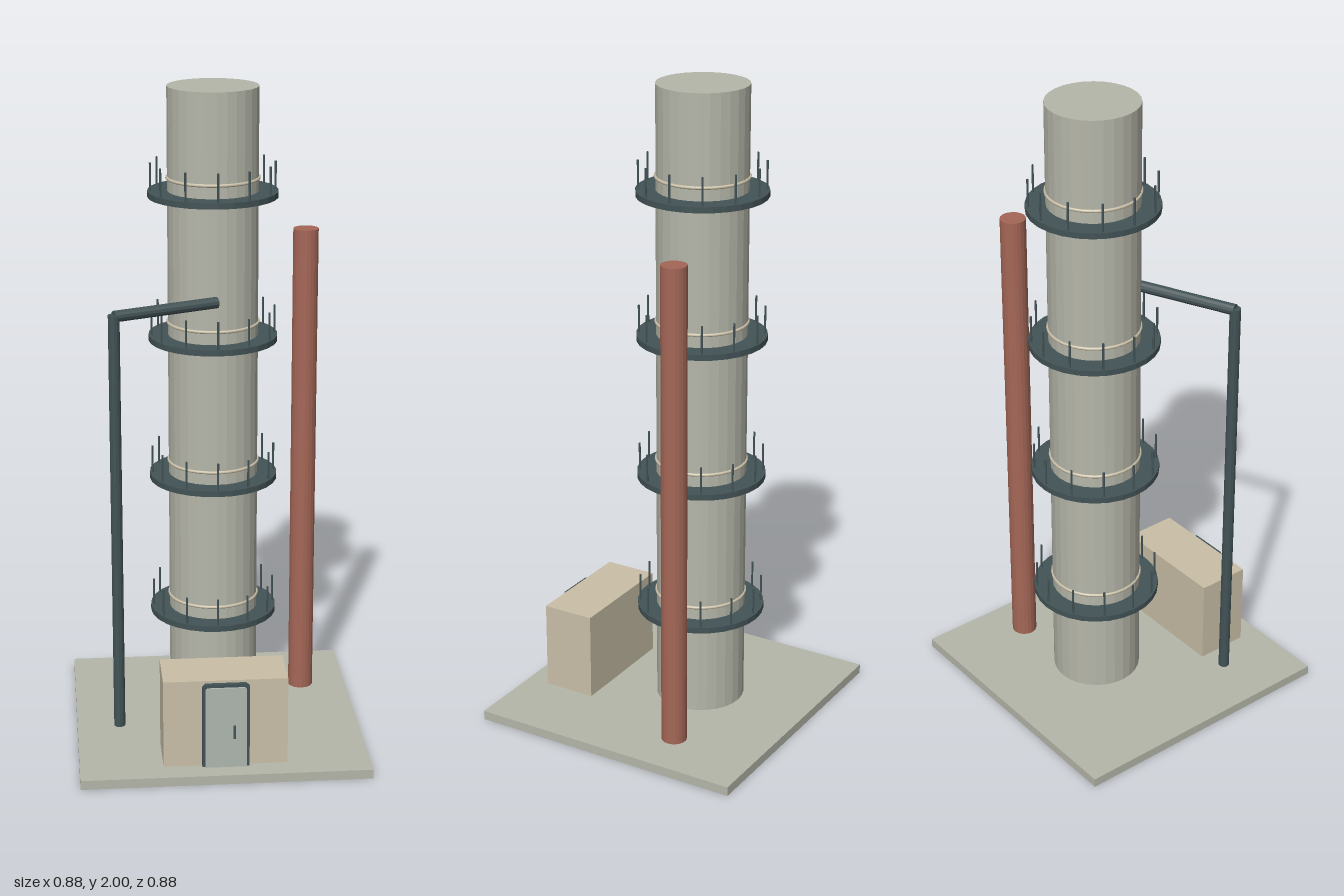
import * as THREE from 'three';

const mat = (name, color, flatShading = false) => {
  const m = new THREE.MeshStandardMaterial({ color, flatShading });
  m.name = name;
  return m;
};

export function createModel() {
  const concrete = mat('concrete grey', 0xb6b7aa, true);
  const steel = mat('dark steel', 0x435356, true);
  const rust = mat('brick red', 0xa56757, true);
  const cream = mat('cream', 0xcac0a8);
  const doorGrey = mat('door grey', 0xb0b8b0);

  const model = new THREE.Group();
  model.name = 'processTower';

  const add = (name, geometry, material, x = 0, y = 0, z = 0, parent = model) => {
    const mesh = new THREE.Mesh(geometry, material);
    mesh.name = name;
    mesh.position.set(x, y, z);
    parent.add(mesh);
    return mesh;
  };
  const box = (name, material, w, h, d, x, y, z) =>
    add(name, new THREE.BoxGeometry(w, h, d), material, x, y, z);
  // Upright cylinder given by its bottom and top heights
  const column = (name, material, r, y0, y1, x, z, sides, parent) =>
    add(name, new THREE.CylinderGeometry(r, r, y1 - y0, sides), material, x, (y0 + y1) / 2, z, parent);

  // Ground slab
  box('baseSlab', concrete, 0.876, 0.025, 0.876, 0, 0.0165, 0);
  box('slabUnderside', concrete, 0.876, 0.004, 0.876, 0, 0.002, 0);

  // Main tower and the slim side stack
  const towerZ = -0.09;
  column('tower', concrete, 0.137, 0.05, 2, 0, towerZ, 28);
  column('sideStack', rust, 0.039, 0.04, 1.55, 0.29, -0.167, 20);

  // Service platforms with posts and a collar above each
  for (let i = 0; i < 4; i++) {
    const y = 0.357 + i * 0.441;
    const level = new THREE.Group();
    level.name = 'platform' + (i + 1);
    level.position.set(0, y, towerZ);
    model.add(level);

    const profile = [[0.13, -0.009], [0.196, -0.009], [0.196, 0.009], [0.13, 0.009]]
      .map(([r, h]) => new THREE.Vector2(r, h));
    add('deck', new THREE.LatheGeometry(profile, 28), steel, 0, 0, 0, level);

    const collar = add('collar', new THREE.TorusGeometry(0.137, 0.005, 8, 32), cream, 0, 0.048, 0, level);
    collar.rotation.x = Math.PI / 2;

    for (let k = 0; k < 12; k++) {
      const a = (k / 12) * Math.PI * 2;
      column('post', steel, 0.0035, 0, 0.094, 0.187 * Math.sin(a), 0.187 * Math.cos(a), 6, level);
    }
  }

  // Pipe: riser and sloping-in-plan branch into the tower
  column('pipeRiser', steel, 0.017, 0.085, 1.385, -0.31, 0.185, 12);
  const from = new THREE.Vector3(-0.31, 1.38, 0.185);
  const to = new THREE.Vector3(0, 1.38, 0.05);
  const dir = to.clone().sub(from);
  const branch = add('pipeBranch', new THREE.CylinderGeometry(0.017, 0.017, dir.length(), 12), steel);
  branch.position.copy(from).lerp(to, 0.5);
  branch.quaternion.setFromUnitVectors(new THREE.Vector3(0, 1, 0), dir.normalize());

  // Control cabin
  box('cabin', cream, 0.374, 0.277, 0.166, 0, 0.167, 0.284);

  // Door frame with clipped top corners, door leaf and handle
  const arch = (w, y1, c) => new THREE.Shape([
    [-w, 0.03], [w, 0.03], [w, y1 - c], [w - c, y1], [c - w, y1], [-w, y1 - c],
  ].map(([x, y]) => new THREE.Vector2(x, y)));
  const slab = (shape, depth) => new THREE.ExtrudeGeometry(shape, { depth, bevelEnabled: false });
  add('doorFrame', slab(arch(0.071, 0.298, 0.01), 0.014), steel, 0, 0, 0.366);
  add('doorLeaf', slab(arch(0.062, 0.288, 0.006), 0.007), doorGrey, 0, 0, 0.379);
  box('doorHandle', steel, 0.007, 0.042, 0.006, 0.025, 0.146, 0.388);

  return model;
}
